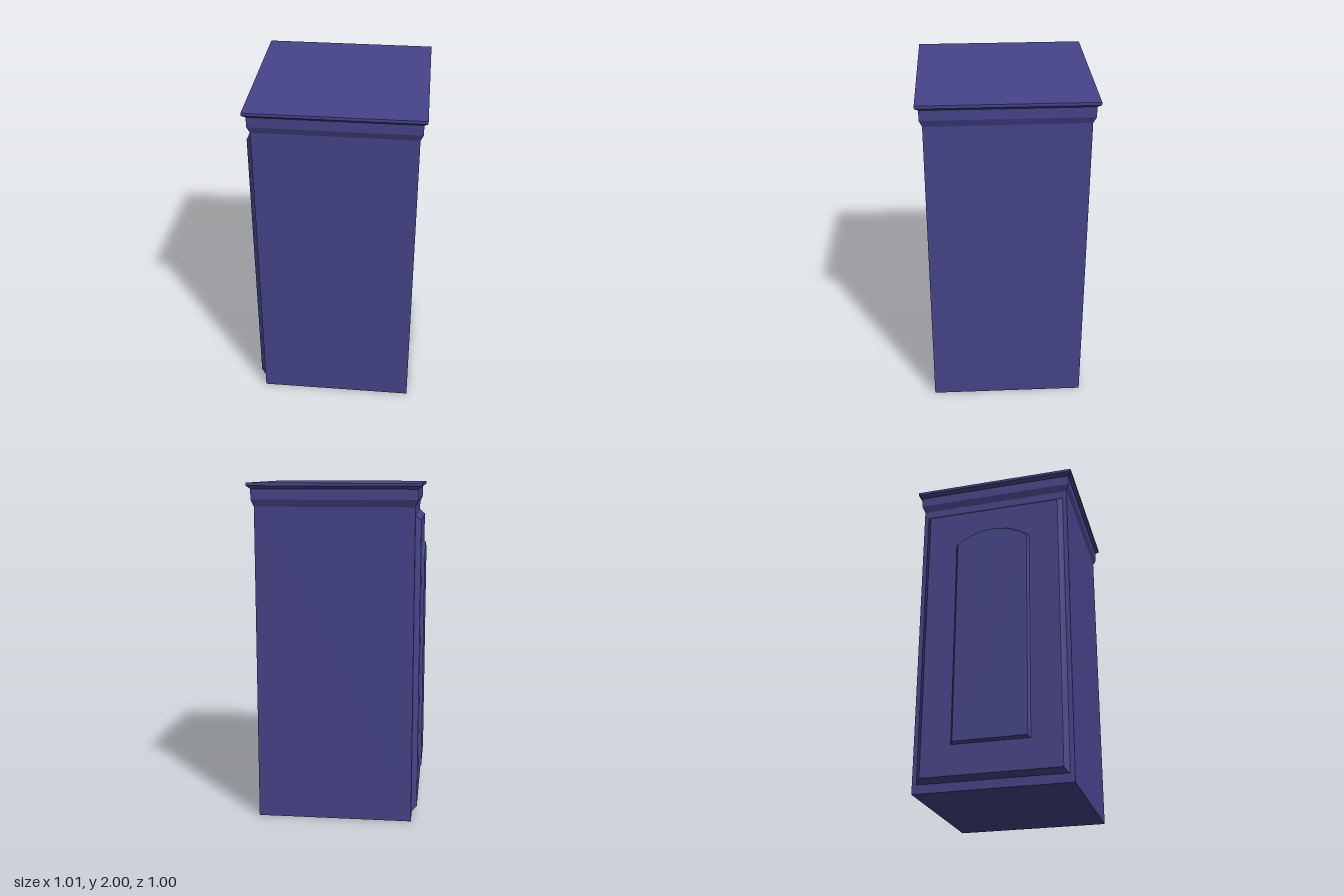
import * as THREE from 'three';

const material = new THREE.MeshStandardMaterial({ color: 0x46448a, flatShading: true });

// Flat slab on the -x side whose front edge is bevelled; front face ends at x = frontX
function sidePanel(name, shape, frontX, bevelDepth, bevelWidth) {
  const depth = 0.01;
  const geometry = new THREE.ExtrudeGeometry(shape, {
    depth, bevelEnabled: true, bevelSegments: 1,
    bevelThickness: bevelDepth, bevelSize: bevelWidth,
  });
  geometry.translate(0, 0, -depth - bevelDepth);
  geometry.rotateY(-Math.PI / 2);
  const mesh = new THREE.Mesh(geometry, material);
  mesh.name = name;
  mesh.position.x = frontX;
  return mesh;
}

export function createModel() {
  const group = new THREE.Group();
  group.name = 'cabinet';

  // Square body and stepped cornice: half-width and height, swept round four sides
  const profile = [
    [0, 0], [0.465, 0], [0.465, 1.865], [0.481, 1.905], [0.481, 1.965],
    [0.502, 1.983], [0.502, 2], [0, 2],
  ].map(([r, y]) => new THREE.Vector2(r * Math.SQRT2, y));
  const bodyGeometry = new THREE.LatheGeometry(profile, 4, Math.PI / 4);
  bodyGeometry.scale(0.991, 1, 0.997);
  const body = new THREE.Mesh(bodyGeometry, material);
  body.name = 'bodyAndCornice';
  body.position.x = 0.006;
  group.add(body);

  // Door slab
  const door = new THREE.Shape();
  door.moveTo(-0.41, 0.08);
  door.lineTo(0.41, 0.08);
  door.lineTo(0.41, 1.79);
  door.lineTo(-0.41, 1.79);
  door.closePath();
  group.add(sidePanel('door', door, -0.488, 0.034, 0.028));

  // Raised panel with a shallow arched top
  const half = 0.218, bottom = 0.273, spring = 1.555, rise = 0.08;
  const radius = (half * half + rise * rise) / (2 * rise);
  const angle = Math.asin(half / radius);
  const panel = new THREE.Shape();
  panel.moveTo(-half, bottom);
  panel.lineTo(half, bottom);
  const steps = 8;
  for (let i = 0; i <= steps; i++) {
    const a = angle * (1 - (2 * i) / steps);
    panel.lineTo(radius * Math.sin(a), spring + rise - radius * (1 - Math.cos(a)));
  }
  panel.closePath();
  group.add(sidePanel('archedDoorPanel', panel, -0.506, 0.018, 0.013));

  return group;
}
